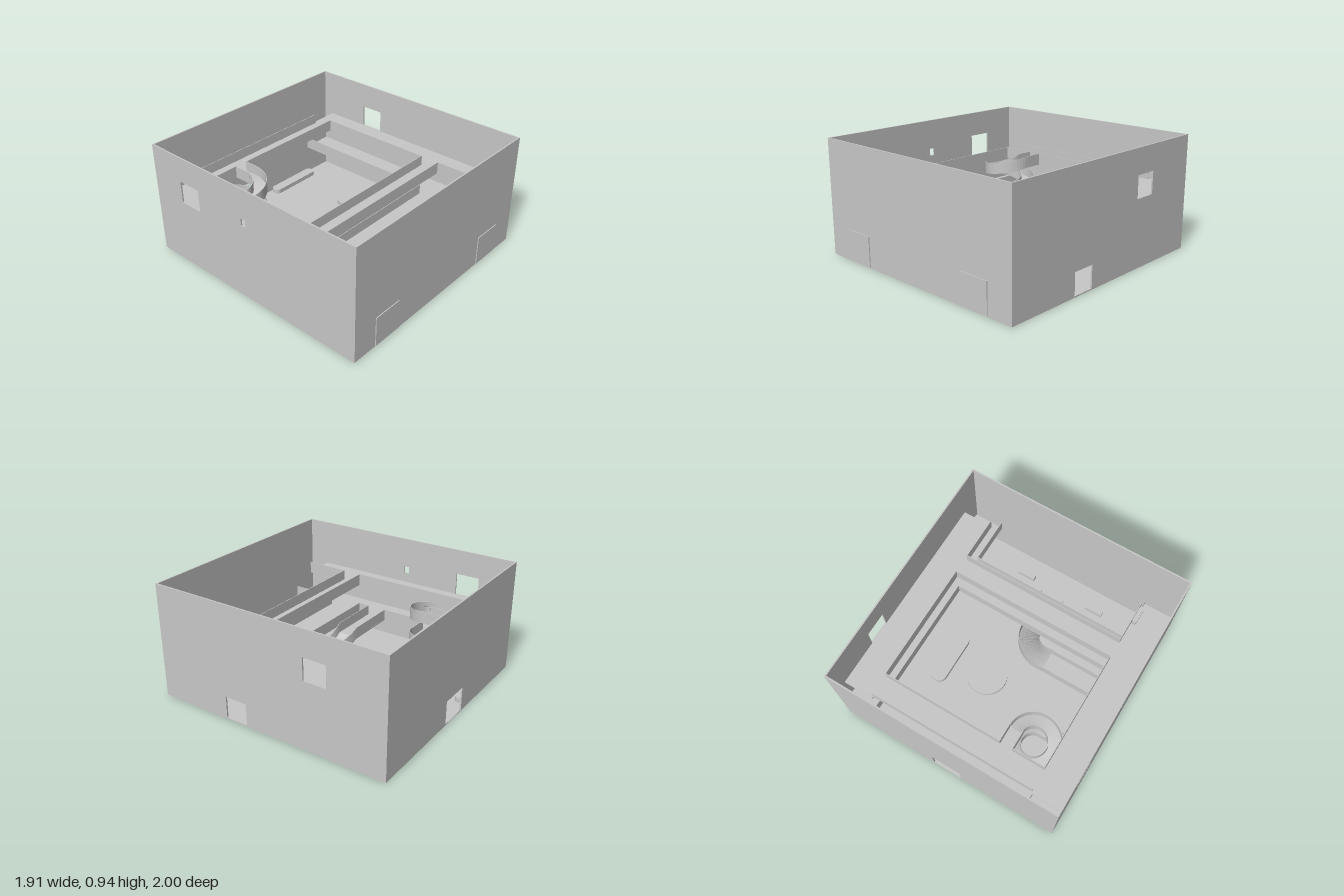
import * as THREE from 'three';

const plaster = new THREE.MeshStandardMaterial({ color: 0xc8c8c8, side: THREE.DoubleSide });
plaster.name = 'pale grey';

const MID = 0.28, TOP = 0.55, SLAB = 0.015, RAIL = 0.083, THIN = 0.005;

export function createModel() {
  const model = new THREE.Group();
  model.name = 'openTopBuilding';

  const add = (name, geometry) => {
    const mesh = new THREE.Mesh(geometry, plaster);
    mesh.name = name;
    model.add(mesh);
    return mesh;
  };
  // Box given by its limits on each axis
  const box = (name, x0, x1, y0, y1, z0, z1) =>
    add(name, new THREE.BoxGeometry(x1 - x0, y1 - y0, z1 - z0)
      .translate((x0 + x1) / 2, (y0 + y1) / 2, (z0 + z1) / 2));
  const loop = (points) => points.map(([a, b]) => new THREE.Vector2(a, b));
  const rect = (a0, a1, b0, b1) => loop([[a0, b0], [a1, b0], [a1, b1], [a0, b1]]);
  const holed = (outline, holes, depth) => {
    const shape = new THREE.Shape(outline);
    holes.forEach((h) => shape.holes.push(new THREE.Path(h)));
    return new THREE.ExtrudeGeometry(shape, { depth, bevelEnabled: false });
  };
  // Horizontal slab from [x, z] points, with its top at y
  const slab = (name, points, holes, y) => {
    const flip = (list) => loop(list.map(([x, z]) => [x, -z]));
    add(name, holed(flip(points), holes.map(flip), SLAB).rotateX(-Math.PI / 2).translate(0, y - SLAB, 0));
  };
  // Thin parapet along [x, z] points, standing on a floor at y
  const parapet = (name, points, y) => {
    for (let i = 1; i < points.length; i++) {
      const [[ax, az], [bx, bz]] = [points[i - 1], points[i]], t = THIN / 2;
      box(name, Math.min(ax, bx) - t, Math.max(ax, bx) + t, y - SLAB, y + RAIL,
        Math.min(az, bz) - t, Math.max(az, bz) + t);
    }
  };
  // Rectangular section swept round a vertical axis while changing height
  const sweep = (name, cx, cz, r0, r1, a0, a1, y0, y1, b, t, n) => {
    const pos = [], rings = [];
    for (let i = 0; i <= n; i++) {
      const f = i / n, a = a0 + (a1 - a0) * f, y = y0 + (y1 - y0) * f;
      rings.push([[r0, b], [r1, b], [r1, t], [r0, t]].map(([r, h]) =>
        [cx + r * Math.cos(a), y + h, cz + r * Math.sin(a)]));
    }
    const quad = (p, q, r, s) => pos.push(...p, ...q, ...r, ...p, ...r, ...s);
    for (let i = 0; i < n; i++) {
      for (let k = 0; k < 4; k++) {
        const j = (k + 1) % 4;
        quad(rings[i][k], rings[i][j], rings[i + 1][j], rings[i + 1][k]);
      }
    }
    quad(...[...rings[0]].reverse());
    quad(...rings[n]);
    const g = new THREE.BufferGeometry();
    g.setAttribute('position', new THREE.Float32BufferAttribute(pos, 3));
    g.computeVertexNormals();
    add(name, g);
  };
  // Curved ramp deck with a parapet on each side
  const ramp = (name, cx, cz, r0, r1, a0, a1, y0, y1, n) => {
    sweep(name + 'Deck', cx, cz, r0, r1, a0, a1, y0, y1, -SLAB, 0, n);
    sweep(name + 'InnerParapet', cx, cz, r0, r0 + THIN, a0, a1, y0, y1, -SLAB, RAIL, n);
    sweep(name + 'OuterParapet', cx, cz, r1 - THIN, r1, a0, a1, y0, y1, -SLAB, RAIL, n);
  };
  // Low bench with rounded ends
  const bench = (name, x0, x1, z0, z1, y, h) => {
    const w = x1 - x0, d = z1 - z0, r = Math.min(w, d) * 0.45, s = new THREE.Shape();
    s.absarc(x1 - r, -z0 - r, r, 0, Math.PI / 2);
    s.absarc(x0 + r, -z0 - r, r, Math.PI / 2, Math.PI);
    s.absarc(x0 + r, -z1 + r, r, Math.PI, Math.PI * 1.5);
    s.absarc(x1 - r, -z1 + r, r, Math.PI * 1.5, Math.PI * 2);
    add(name, new THREE.ExtrudeGeometry(s, { depth: h, bevelEnabled: false, curveSegments: 8 })
      .rotateX(-Math.PI / 2).translate(0, y, 0));
  };

  // Ground slab and outer walls with their openings
  const X = 0.955, H = 0.935, W = 0.012, ZF = 0.993;
  box('groundFloor', -X + 0.004, X - 0.004, 0, 0.012, -0.996, ZF - 0.004);
  box('frontWall', -X, X, 0.008, H, ZF - W, ZF);
  add('backWall', holed(rect(-X, X, 0.008, H), [rect(-0.12, 0.13, 0.013, 0.205)], W).translate(0, 0, -1));
  const sideWall = (name, x, holes) =>
    add(name, holed(rect(-ZF + W, 1 - W, 0.008, H), holes.map(([z0, z1, y0, y1]) => rect(-z1, -z0, y0, y1)), W)
      .rotateY(Math.PI / 2).translate(x, 0, 0));
  sideWall('leftWall', X - W, [[-0.53, -0.34, 0.55, 0.73], [0.18, 0.37, 0.013, 0.19]]);
  sideWall('rightWall', -X, [[-0.7, -0.5, 0.55, 0.73], [-0.05, -0.005, 0.63, 0.69]]);
  for (const s of [-1, 1]) {
    box('frontDoorPanel', s * 0.618 - 0.124, s * 0.618 + 0.124, 0.013, 0.255, ZF - 0.004, 1);
  }

  // Upper floor ring with the atrium cut out and a landing for the spiral
  const E = X - W, A = 0.69;
  slab('upperFloor', [
    [-E, -0.9], [-A, -0.9], [-A, -0.88], [A, -0.88], [A, -0.9], [E, -0.9],
    [E, 0.81], [A, 0.81], [A, 0.45], [-A, 0.45], [-A, 0.81], [-E, 0.81],
  ], [[
    [-A, -0.7], [-0.42, -0.7], [-0.42, -0.55], [-0.31, -0.55], [-0.31, -0.7],
    [A, -0.7], [A, 0.29], [-A, 0.29],
  ]], TOP);
  parapet('atriumParapet', [[-0.42, -0.55], [-0.42, -0.7], [-A, -0.7], [-A, 0.29], [A, 0.29],
    [A, -0.7], [-0.31, -0.7], [-0.31, -0.55]], TOP);
  parapet('backParapet', [[-A, -0.88], [A, -0.88]], TOP);
  parapet('frontParapet', [[-A, 0.81], [-A, 0.45], [A, 0.45], [A, 0.81]], TOP);
  bench('upperBench', -0.73, -0.692, 0.64, 0.79, TOP, 0.04);

  // Middle floor: two side galleries joined by a bridge
  slab('middleFloor', [
    [-E, -0.98], [-A, -0.98], [-A, 0.29], [A, 0.29], [A, -0.98], [E, -0.98],
    [E, 0.97], [A, 0.97], [A, 0.59], [-A, 0.59], [-A, 0.97], [-E, 0.97],
  ], [], MID);
  parapet('bridgeFrontParapet', [[-A, 0.97], [-A, 0.59], [A, 0.59], [A, 0.97]], MID);
  parapet('leftGalleryParapet', [[A, -0.98], [A, 0.29], [-A, 0.29], [-A, 0.2]], MID);
  parapet('rightGalleryParapet', [[-A, 0.03], [-A, -0.335]], MID);
  parapet('rightGalleryBackParapet', [[-A, -0.44], [-A, -0.98]], MID);
  for (const s of [-1, 1]) {
    box('bridgeBracket', s * 0.1 - 0.014, s * 0.1 + 0.014, MID - 0.015, MID + 0.06, 0.592, 0.62);
  }

  // Curved ramp from the ground to the middle floor
  ramp('groundRamp', -0.25, 0.4, 0.2, 0.37, -Math.PI / 2, 0, MID, 0.03, 24);
  slab('groundRampLanding', [[-A, 0.03], [-0.25, 0.03], [-0.25, 0.2], [-A, 0.2]], [], MID);
  for (const z of [0.033, 0.197]) parapet('groundRampParapet', [[-A, z], [-0.25, z]], MID);

  // Spiral ramp from the middle floor to the upper floor
  ramp('spiralRamp', -0.52, -0.55, 0.1, 0.21, 0, Math.PI * 2.5, TOP, MID, 60);
  slab('spiralRampExit', [[-A, -0.45], [-0.52, -0.45], [-0.52, -0.34], [-A, -0.34]], [], MID);
  for (const z of [-0.4475, -0.3425]) parapet('spiralExitParapet', [[-A, z], [-0.52, z]], MID);

  // Ground floor furniture
  bench('backBenchRight', -A, -0.2, -0.98, -0.895, 0.01, 0.04);
  bench('backBenchLeft', 0.2, A, -0.98, -0.895, 0.01, 0.04);
  bench('atriumBench', 0.43, 0.57, -0.42, 0.05, 0.01, 0.04);
  add('roundPlinth', new THREE.CylinderGeometry(0.17, 0.17, 0.03, 48).translate(0.15, 0.025, -0.16));
  for (const s of [-1, 1]) {
    box('entranceDesk', s * 0.332 - 0.077, s * 0.332 + 0.077, 0.01, 0.055, 0.785, 0.825);
  }

  return model;
}
